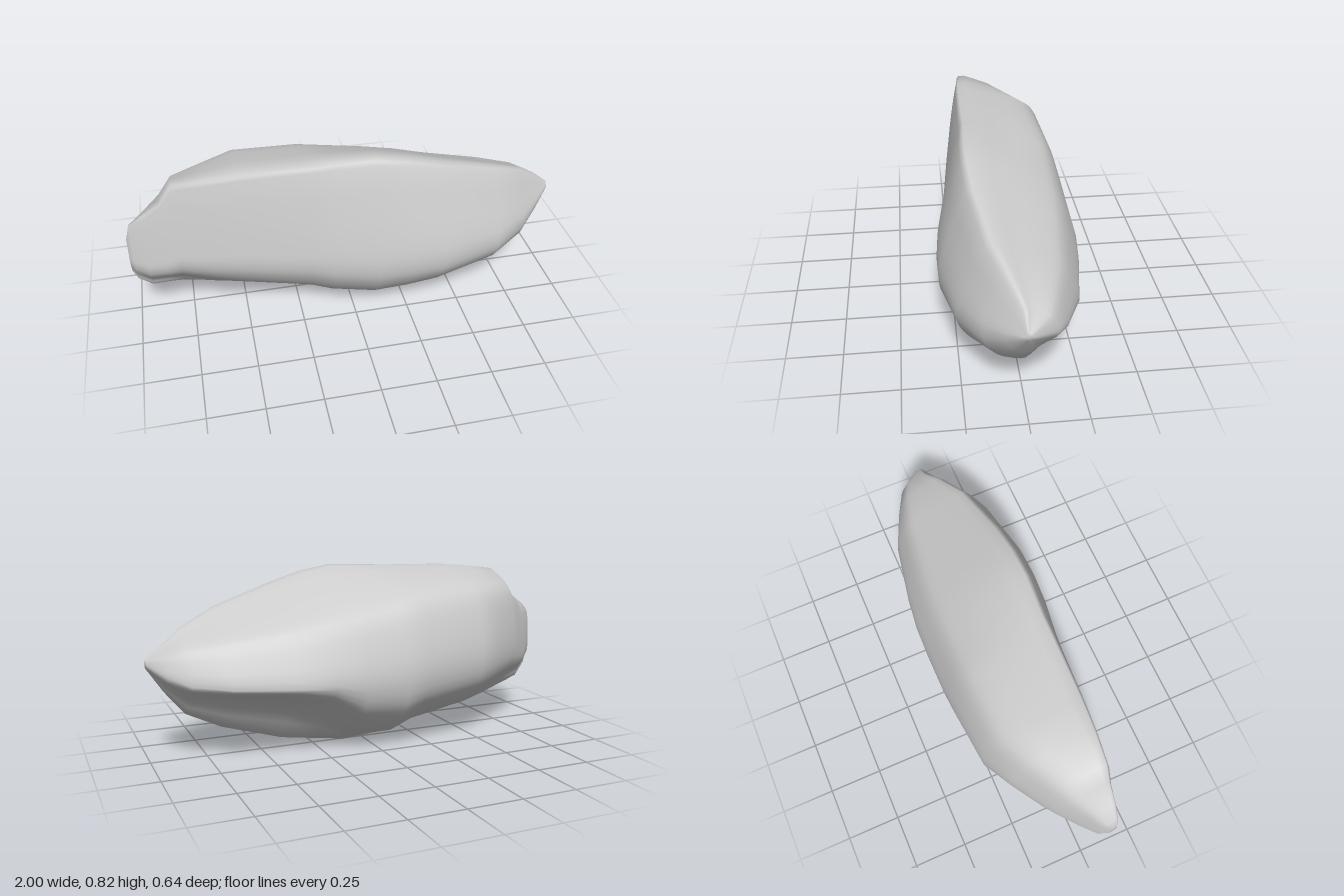
import * as THREE from 'three';

// Stations along the length:
// x, bottom, top, back, front, depth of the top ridge, height of the back shoulder, lift of the lower front, of the lower back
const STATIONS = [
  [-1, 0.32, 0.5, 0.09, 0.13, 0.4, 0.84, 0, 0],
  [-0.98, 0.26, 0.575, 0.05, 0.145, 0.5, 0.84, 0, 0],
  [-0.92, 0.2, 0.62, 0, 0.165, 0.6, 0.84, 0.02, 0],
  [-0.84, 0.185, 0.68, -0.07, 0.185, 0.62, 0.84, 0.03, 0],
  [-0.78, 0.175, 0.768, -0.12, 0.2, 0.64, 0.82, 0.03, 0],
  [-0.64, 0.15, 0.785, -0.21, 0.22, 0.7, 0.82, 0.03, 0],
  [-0.5, 0.13, 0.798, -0.288, 0.235, 0.72, 0.83, 0.03, 0],
  [-0.2, 0.075, 0.805, -0.315, 0.265, 0.66, 0.81, 0.02, 0],
  [-0.1, 0.03, 0.81, -0.32, 0.28, 0.62, 0.79, 0.03, 0],
  [0.1, 0, 0.817, -0.322, 0.31, 0.58, 0.75, 0.03, 0.05],
  [0.25, 0.02, 0.79, -0.318, 0.32, 0.55, 0.74, 0.03, 0.15],
  [0.4, 0.04, 0.745, -0.3, 0.318, 0.5, 0.74, 0.04, 0.2],
  [0.68, 0.125, 0.655, -0.247, 0.26, 0.42, 0.75, 0.02, 0.2],
  [0.84, 0.205, 0.58, -0.175, 0.165, 0.32, 0.79, 0, 0.17],
  [0.93, 0.315, 0.515, -0.122, 0.09, 0.25, 0.78, 0, 0.12],
  [1, 0.42, 0.46, -0.015, 0.025, 0.2, 0.8, 0, 0],
];

// One closed cross-section, from the top ridge down the front, under and up the back
function section([x, y0, y1, z0, z1, ridge, shoulder, lift, backLift]) {
  const blade = 0.5 * THREE.MathUtils.smoothstep(-x, 0.5, 0.95); // the left end narrows below
  const under = (d) => d * (1 - blade) - 0.2 * blade;
  const face = (f) => ridge + f * (1 - ridge);
  const outline = [
    [ridge, 1], [face(0.24), 0.93], [face(0.57), 0.74], [0.97, 0.48], [1, 0.36], [0.95 - 0.25 * blade, 0.24 + lift / 2],
    [under(0.72), 0.09 + lift], [under(0.4), 0.02 + lift / 2], [under(0), 0], [under(-0.35), 0.03 + 0.85 * backLift],
    [under(-0.65), 0.11 + backLift], [-0.92, 0.24 + 0.7 * backLift], [-1, 0.42], [-0.88, 0.8 * shoulder], [-0.7, shoulder],
    [-0.48, shoulder + 0.07], [0, 0.56 + 0.48 * shoulder],
  ].map(([d, h]) => new THREE.Vector3(x, y0 + (y1 - y0) * h, (z0 + z1) / 2 + d * (z1 - z0) / 2));
  // Sample between the same outline points everywhere, so that creases run along the length
  const curve = new THREE.CatmullRomCurve3(outline, true, 'centripetal');
  return curve.getPoints(outline.length * 3).slice(0, -1);
}

function loft(rings) {
  const n = rings[0].length;
  const points = rings.flat();
  const idx = [];
  for (let i = 0; i < rings.length - 1; i++) {
    for (let j = 0; j < n; j++) {
      const a = i * n + j, b = i * n + (j + 1) % n;
      idx.push(a, b, b + n, a, b + n, a + n);
    }
  }
  // Close both ends
  [0, rings.length - 1].forEach((r, end) => {
    const centre = points.length;
    const middle = new THREE.Vector3();
    rings[r].forEach((p) => middle.addScaledVector(p, 1 / n));
    points.push(middle);
    for (let j = 0; j < n; j++) {
      const a = r * n + j, b = r * n + (j + 1) % n;
      if (end) idx.push(centre, a, b);
      else idx.push(centre, b, a);
    }
  });
  const geometry = new THREE.BufferGeometry().setFromPoints(points);
  geometry.setIndex(idx);
  geometry.computeVertexNormals();
  return geometry;
}

export function createModel() {
  const group = new THREE.Group();
  group.name = 'rock';
  const stone = new THREE.MeshStandardMaterial({ color: 0xcccccc });
  stone.name = 'grey stone';
  const boulder = new THREE.Mesh(loft(STATIONS.map(section)), stone);
  boulder.name = 'boulder';
  group.add(boulder);
  return group;
}
